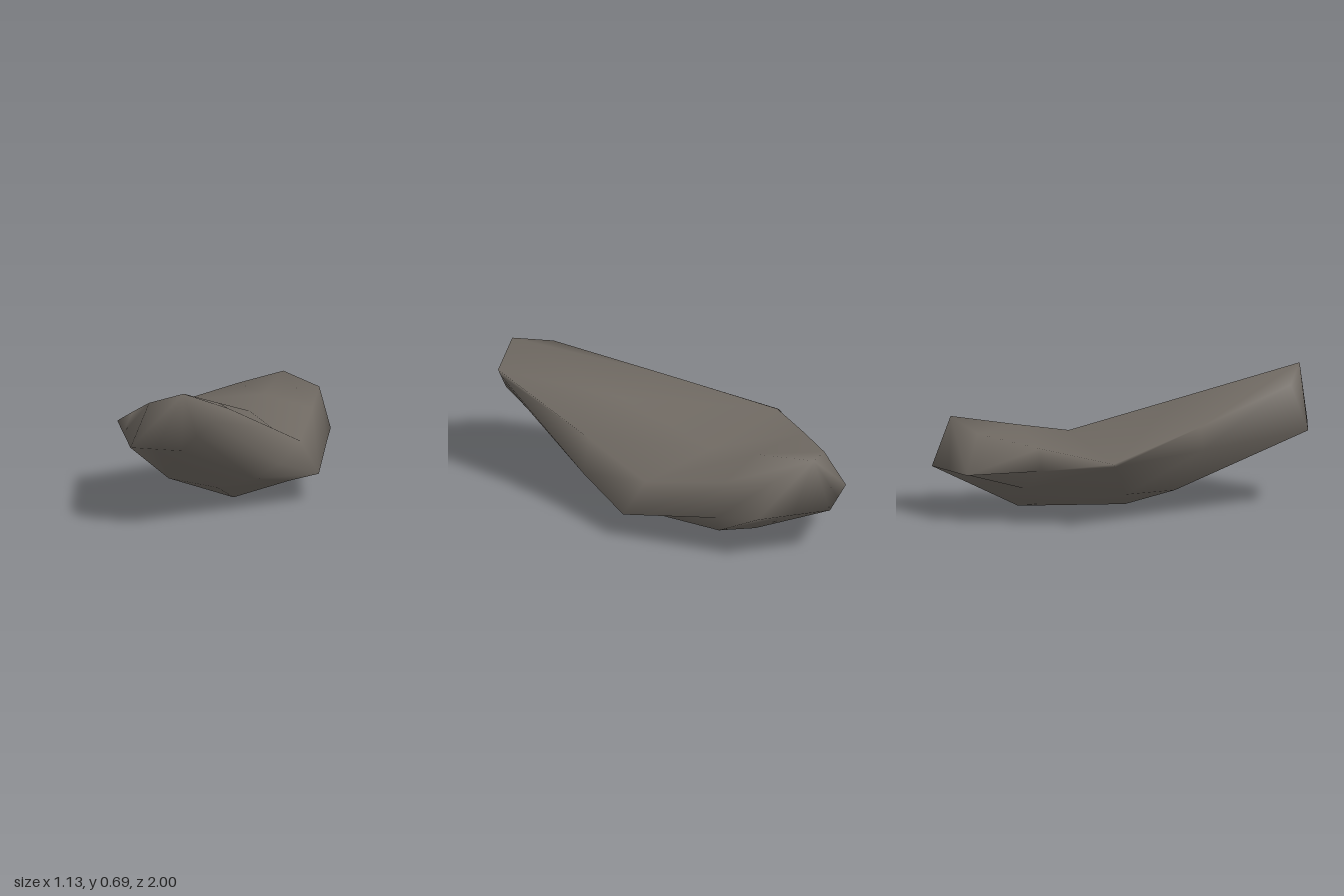
import * as THREE from 'three';

const stone = new THREE.MeshStandardMaterial({ color: 0x6e6861 });
stone.name = 'warm grey stone';

// Cross-sections from front to back, each running
// top, upper +x, side +x, lower +x, bottom, lower -x, side -x, upper -x.
const sections = [
  [[0.125, 0.69, 0.96], [0.345, 0.615, 0.9], [0.272, 0.543, 0.933], [0.198, 0.472, 0.967],
    [0.125, 0.4, 1], [-0.022, 0.395, 0.96], [-0.17, 0.39, 0.92], [-0.09, 0.615, 0.85]],
  [[0.125, 0.534, 0.3], [0.408, 0.417, 0.3], [0.45, 0.23, 0.3], [0.32, 0.155, 0.33],
    [0.125, 0.1, 0.33], [-0.17, 0.115, 0.21], [-0.385, 0.355, 0.3], [-0.335, 0.467, 0.3]],
  [[0.125, 0.4, -0.27], [0.45, 0.29, -0.08], [0.565, 0.135, -0.02], [0.42, 0.1, 0.03],
    [0.125, 0, 0.03], [-0.17, 0.105, -0.05], [-0.565, 0.325, -0.22], [-0.545, 0.335, -0.225]],
  [[0.125, 0.443, -0.54], [0.387, 0.384, -0.52], [0.463, 0.216, -0.53], [0.4, 0.11, -0.5],
    [0.125, 0.02, -0.54], [-0.17, 0.16, -0.58], [-0.367, 0.285, -0.56], [-0.305, 0.392, -0.55]],
  [[0.125, 0.505, -0.9], [0.345, 0.45, -0.8], [0.42, 0.247, -0.75], [0.272, 0.249, -0.875],
    [0.125, 0.25, -1], [-0.022, 0.248, -0.95], [-0.17, 0.246, -0.9], [-0.09, 0.446, -0.82]],
];

// Joins the sections into one closed, smooth skin.
function loft(rings) {
  const n = rings[0].length;
  const last = rings.length - 1;
  const back = last * n;
  const index = [];
  for (let j = 0; j < n; j++) {
    const next = (j + 1) % n;
    for (let i = 0; i < last; i++) {
      const a = i * n + j;
      const b = i * n + next;
      index.push(a, b, a + n, b, b + n, a + n);
    }
  }
  // end caps fan out from the top point
  for (let j = 1; j < n - 1; j++) {
    index.push(0, j + 1, j);
    index.push(back, back + j, back + j + 1);
  }
  const geometry = new THREE.BufferGeometry();
  geometry.setAttribute('position', new THREE.Float32BufferAttribute(rings.flat(2), 3));
  geometry.setIndex(index);
  geometry.computeVertexNormals();
  return geometry;
}

export function createModel() {
  const model = new THREE.Group();
  model.name = 'rock';
  const slab = new THREE.Mesh(loft(sections), stone);
  slab.name = 'bentSlab';
  model.add(slab);
  return model;
}
